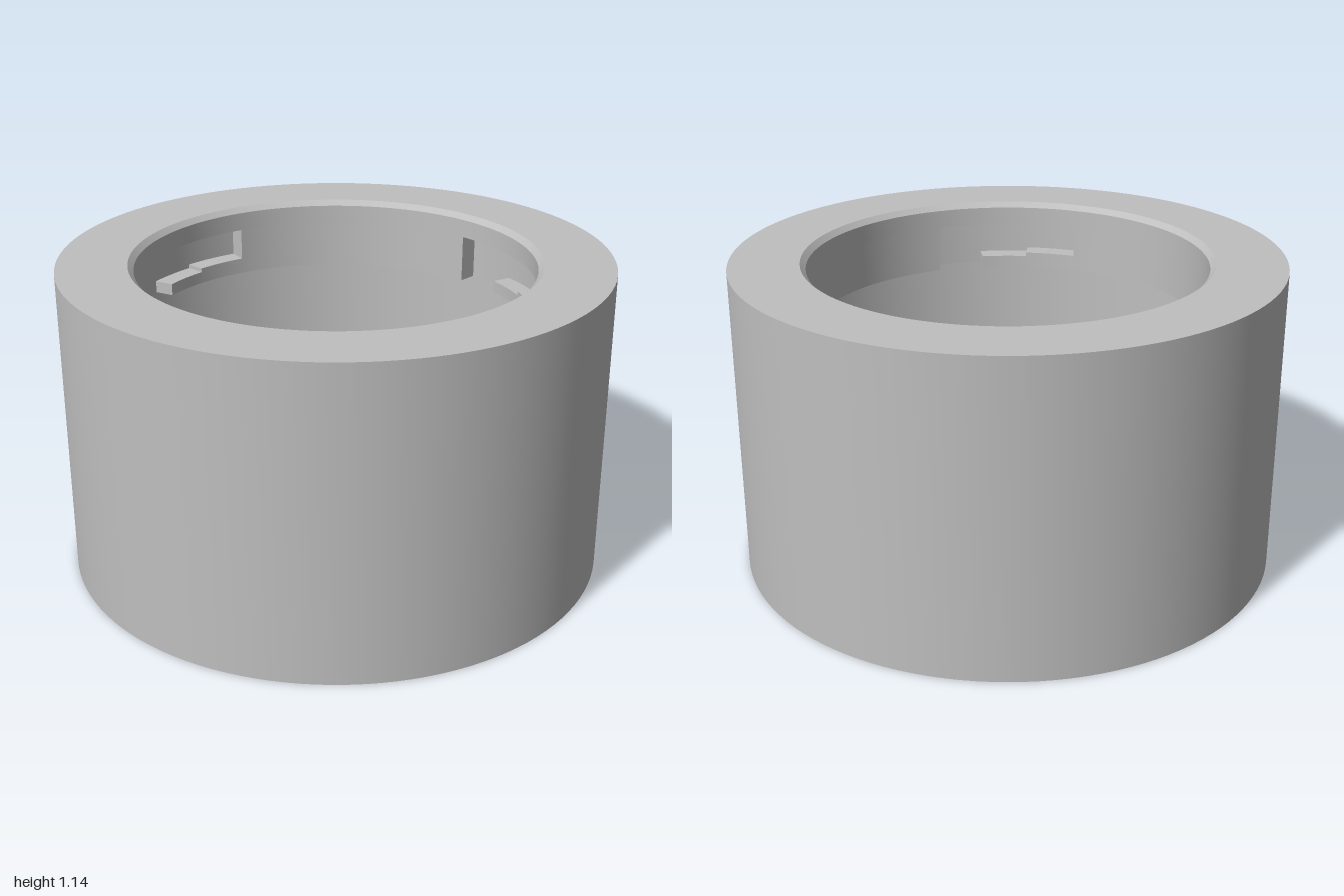
import * as THREE from 'three';
import { toCreasedNormals } from 'three/addons/utils/BufferGeometryUtils.js';

const RAD = Math.PI / 180;
const BORE = 0.725, SLOT = 0.8;          // bore and slot radii
const LEDGE = 0.875, CEILING = 1.055;    // underside of the neck, slot ceiling
const TOP = 1.145;

export function createModel() {
  const grey = new THREE.MeshStandardMaterial({ color: 0xbfbfbf });
  grey.name = 'grey';
  const group = new THREE.Group();
  group.name = 'bayonetCollar';

  const add = (name, geometry) => {
    const mesh = new THREE.Mesh(toCreasedNormals(geometry, 25 * RAD), grey);
    mesh.name = name;
    group.add(mesh);
  };

  // Ring segment between bore and slot radius, angles in degrees from +x towards +z
  const ringSegment = (name, from, to, bottom, top) => {
    const shape = new THREE.Shape();
    shape.absarc(0, 0, SLOT, from * RAD, to * RAD, false);
    shape.absarc(0, 0, BORE, to * RAD, from * RAD, true);
    shape.closePath();
    const geometry = new THREE.ExtrudeGeometry(shape, {
      depth: top - bottom, bevelEnabled: false, curveSegments: Math.ceil((to - from) / 3),
    });
    geometry.rotateX(Math.PI / 2);
    geometry.translate(0, top, 0);
    add(name, geometry);
  };

  // Sleeve with thin skirt, thick neck, chamfered mouth and an internal groove
  const profile = [
    [BORE, CEILING], [SLOT, CEILING], [SLOT, LEDGE], [0.947, LEDGE], [0.947, 0],
    [1, 0], [1, TOP], [0.745, TOP], [BORE, TOP - 0.02], [BORE, CEILING],
  ].map(([r, y]) => new THREE.Vector2(r, y));
  add('sleeve', new THREE.LatheGeometry(profile, 120));

  // Three slots: open entry, low lip, raised lip, then solid bore wall
  for (let i = 0; i < 3; i++) {
    const start = 103.3 + i * 120;
    ringSegment('lowLip', start + 14.3, start + 28.5, LEDGE, 0.92);
    ringSegment('raisedLip', start + 28.5, start + 44.3, LEDGE, 0.935);
    ringSegment('boreWall', start + 44.3, start + 120, LEDGE, CEILING);
  }
  return group;
}
